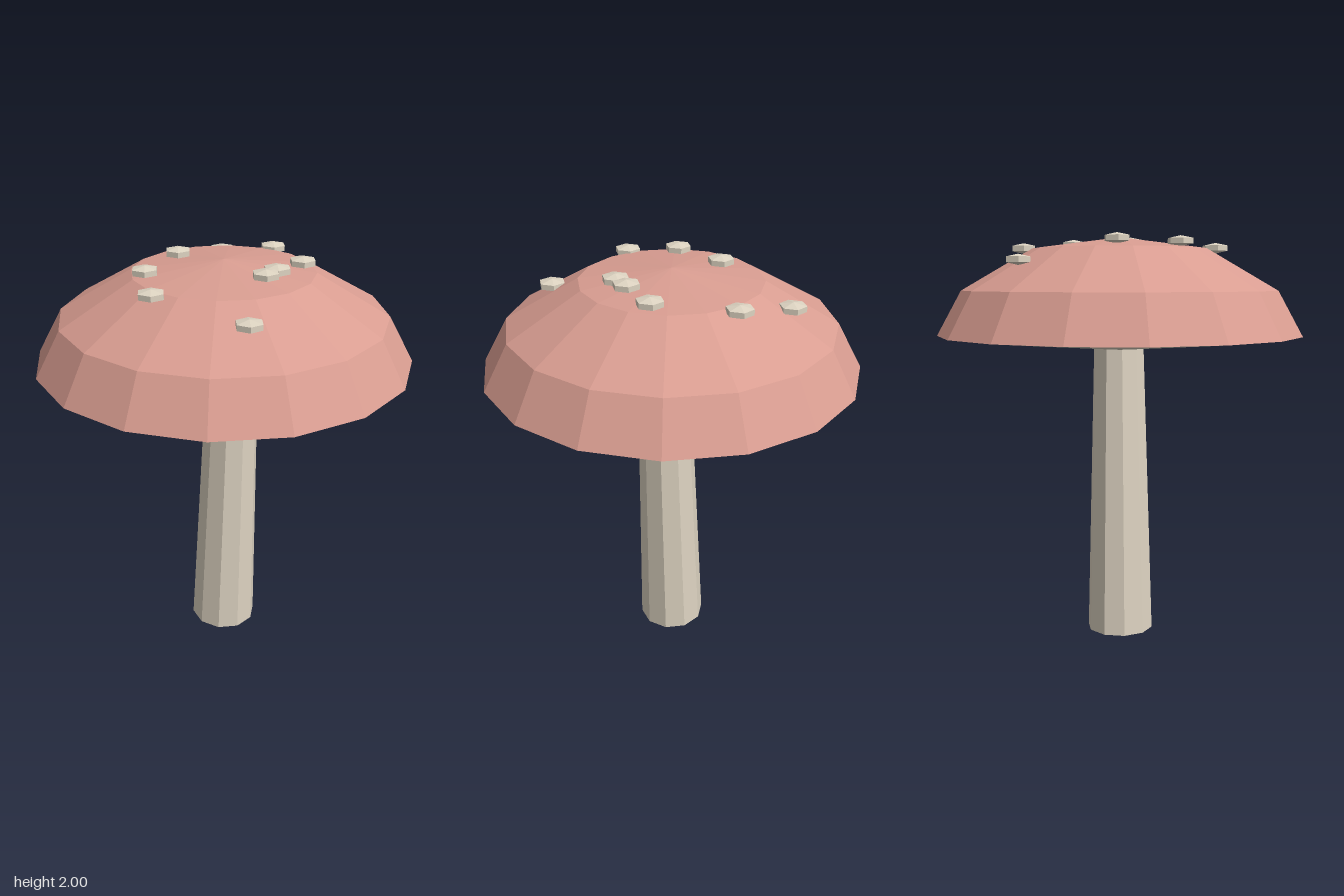
import * as THREE from 'three';

const flat = (name, color) => {
  const m = new THREE.MeshStandardMaterial({ color, flatShading: true });
  m.name = name;
  return m;
};

export function createModel() {
  const group = new THREE.Group();
  group.name = 'mushroom';
  const cream = flat('cream', 0xddd3c1);
  const pink = flat('dusty pink', 0xd99d91);

  const add = (name, geometry, material) => {
    const mesh = new THREE.Mesh(geometry, material);
    mesh.name = name;
    group.add(mesh);
    return mesh;
  };
  const lathe = (points) =>
    new THREE.LatheGeometry(points.map(([r, y]) => new THREE.Vector2(r, y)), 16);

  // Ten-sided tapering stem, leaning slightly to its left
  const stemGeometry = new THREE.CylinderGeometry(0.125, 0.167, 1.48, 10);
  stemGeometry.rotateY(Math.PI / 2).translate(0, 0.74, 0);
  const stem = add('stem', stemGeometry, cream);
  stem.rotation.z = -0.034;
  stem.position.set(-0.003, 0.006, 0);

  // Faceted cap and its shallow conical underside
  add('cap', lathe([[0.89, 1.52], [0.77, 1.735], [0.425, 1.935], [0, 1.99]]), pink);
  add('capUnderside', lathe([[0, 1.443], [0.89, 1.52]]), cream);

  // Flattened hexagonal spots
  const spotGeometry = new THREE.SphereGeometry(0.072, 6, 3).scale(1, 0.35, 1);
  const spots = [
    [-0.26, 1.877, -0.5], [0.04, 1.935, -0.465], [0.305, 1.964, -0.2],
    [-0.265, 1.975, -0.05], [0.265, 1.975, 0], [0.25, 1.975, 0.09],
    [-0.27, 1.963, 0.245], [-0.12, 1.935, 0.445], [0.34, 1.877, 0.445],
  ];
  for (const p of spots) add('spot', spotGeometry, cream).position.set(...p);

  return group;
}
